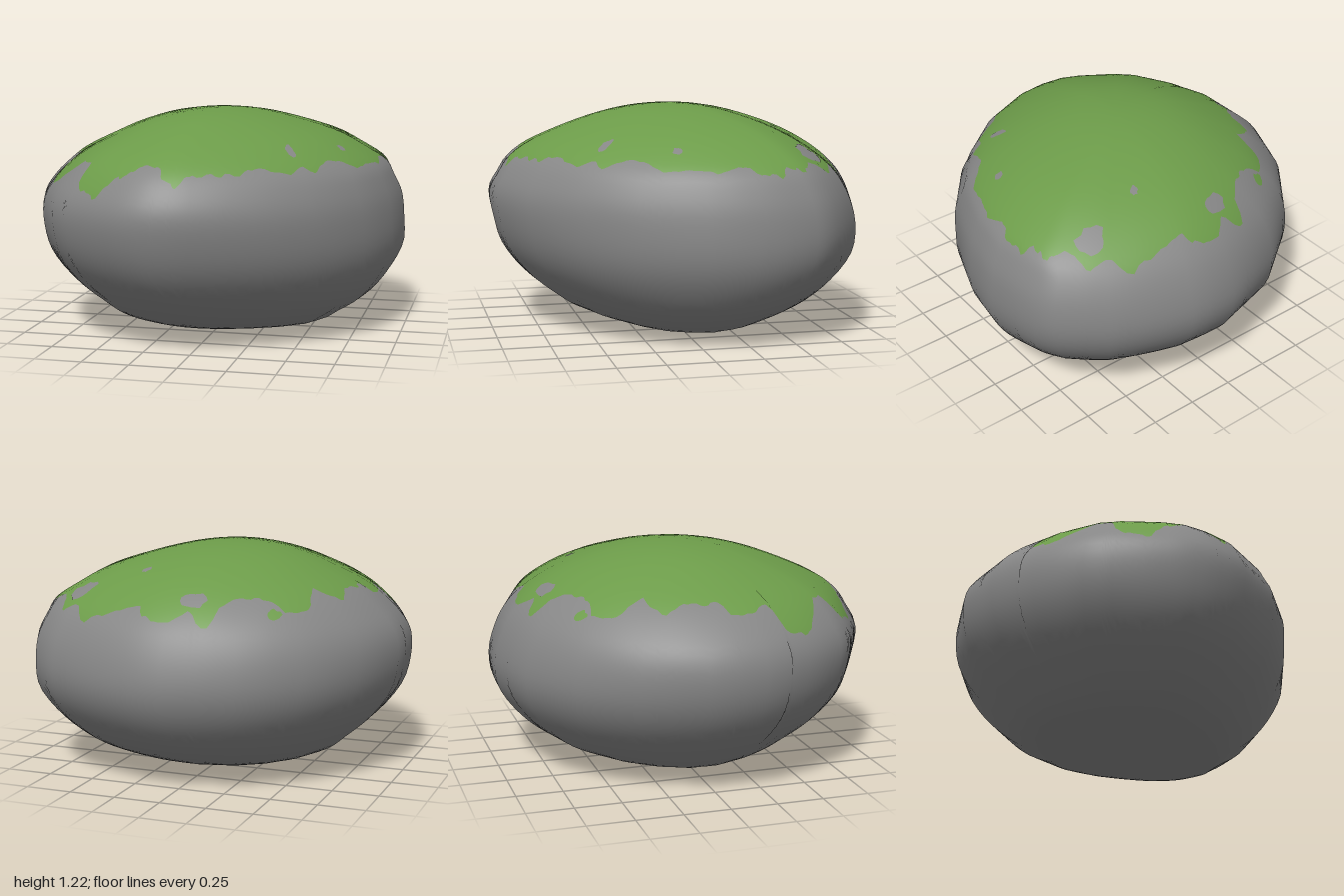
import * as THREE from 'three';

// Plan outline of the boulder, [x, z], starting at the back and turning through +x
const OUTLINE = [
  [0, -1], [0.26, -0.99], [0.67, -0.85], [0.87, -0.67], [0.93, -0.55], [0.98, -0.26],
  [0.94, 0.02], [0.83, 0.35], [0.62, 0.62], [0.35, 0.84], [0.05, 0.97], [-0.12, 0.99],
  [-0.27, 0.98], [-0.4, 0.93], [-0.64, 0.79], [-0.75, 0.69], [-0.89, 0.45], [-0.98, 0.19],
  [-0.98, -0.11], [-0.85, -0.43], [-0.64, -0.7], [-0.36, -0.9],
];
// Cross-sections from top to bottom: [y, reach to -x, +x, +z, -z]
const LEVELS = [
  [1.22, 0, 0, 0, 0], [1.2, 0.23, 0.21, 0.24, 0.22], [1.15, 0.42, 0.41, 0.44, 0.42],
  [1.08, 0.58, 0.62, 0.63, 0.6], [1.0, 0.74, 0.76, 0.8, 0.74], [0.92, 0.84, 0.88, 0.9, 0.84],
  [0.84, 0.92, 0.92, 0.95, 0.91], [0.74, 0.98, 0.965, 1, 0.96], [0.6, 0.985, 0.98, 0.98, 1],
  [0.45, 0.945, 0.98, 0.935, 0.985], [0.3, 0.835, 0.905, 0.82, 0.885],
  [0.18, 0.7, 0.805, 0.67, 0.75], [0.1, 0.6, 0.68, 0.54, 0.6],
  [0.04, 0.45, 0.56, 0.35, 0.42], [0.01, 0.22, 0.28, 0.15, 0.26], [0, 0, 0, 0, 0],
];
// Ragged border of the moss in plan, [x, z], in the same order as the outline
const MOSS_BORDER = [
  [0, -0.86], [0.13, -0.86], [0.18, -0.8], [0.33, -0.79], [0.5, -0.8], [0.54, -0.77],
  [0.57, -0.71], [0.68, -0.68], [0.7, -0.62], [0.74, -0.55], [0.82, -0.52], [0.82, -0.42],
  [0.87, -0.38], [0.87, -0.25], [0.84, -0.15], [0.85, -0.02], [0.8, 0.1], [0.78, 0.22],
  [0.7, 0.28], [0.63, 0.37], [0.6, 0.51], [0.52, 0.52], [0.48, 0.6], [0.42, 0.63],
  [0.33, 0.68], [0.27, 0.76], [0.15, 0.8], [0.05, 0.85], [0, 0.88], [-0.03, 0.91],
  [-0.09, 0.9], [-0.13, 0.84], [-0.2, 0.81], [-0.3, 0.84], [-0.42, 0.83], [-0.47, 0.86],
  [-0.54, 0.8], [-0.59, 0.73], [-0.55, 0.64], [-0.6, 0.58], [-0.7, 0.54], [-0.78, 0.5],
  [-0.84, 0.42], [-0.85, 0.34], [-0.75, 0.29], [-0.74, 0.26], [-0.8, 0.18], [-0.79, 0.05],
  [-0.73, 0.02], [-0.75, -0.08], [-0.7, -0.12], [-0.72, -0.25], [-0.68, -0.31],
  [-0.59, -0.33], [-0.6, -0.5], [-0.52, -0.59], [-0.42, -0.58], [-0.3, -0.65],
  [-0.22, -0.74], [-0.2, -0.84], [-0.13, -0.82], [-0.07, -0.8],
];

const N = OUTLINE.length;
const LAST = LEVELS.length - 1;
const SEGMENTS = N * 12;
const { lerp, clamp, smoothstep } = THREE.MathUtils;

// Beyond a pole the profile continues on the opposite side
function levelAt(i) {
  if (i >= 0 && i <= LAST) return LEVELS[i];
  const [y, ...reach] = LEVELS[i < 0 ? -i : 2 * LAST - i];
  return [y, ...reach.map((r) => -r)];
}

// Catmull-Rom through the levels
function profile(t) {
  const i = Math.floor(t), f = t - i;
  const [a, b, c, d] = [levelAt(i - 1), levelAt(i), levelAt(i + 1), levelAt(i + 2)];
  return b.map((p, k) => p + 0.5 * f * (c[k] - a[k]
    + f * (2 * a[k] - 5 * p + 4 * c[k] - d[k] + f * (3 * (p - c[k]) + d[k] - a[k]))));
}

// Surface point: u runs round the outline, s runs down the levels
function surface(u, s) {
  const i = Math.floor(u);
  const a = OUTLINE[((i % N) + N) % N], b = OUTLINE[(((i + 1) % N) + N) % N];
  const ox = lerp(a[0], b[0], u - i), oz = lerp(a[1], b[1], u - i);
  const [y, right, left, front, back] = profile(s);
  // Protruding corners soften towards the underside
  const corner = 1 - 0.5 * Math.max(0, Math.hypot(ox, oz) - 1) * smoothstep(s, 7, 12);
  return new THREE.Vector3(ox / 0.98 * (ox > 0 ? left : right) * corner, Math.max(y, 0),
    oz * (oz > 0 ? front : back) * corner);
}

// Normal taken over a wide span, so the facets shade smoothly
function surfaceNormal(u, s) {
  if (s <= 0 || s >= LAST) return new THREE.Vector3(0, s <= 0 ? 1 : -1, 0);
  const du = new THREE.Vector3();
  const c = clamp(s, 0.1, LAST - 0.1);
  for (const w of [0.6, 1.2, 1.8]) du.add(surface(u + w, c)).sub(surface(u - w, c));
  const span = Math.min(0.8, c, LAST - c);
  const ds = surface(u, c + span).sub(surface(u, c - span));
  return du.cross(ds).normalize();
}

// Grid of surface points; map(i, j) gives [u, s]
function surfaceGrid(cols, rows, map, lift = 0) {
  const position = [], normal = [], index = [];
  for (let j = 0; j <= rows; j++) {
    for (let i = 0; i <= cols; i++) {
      const [u, s] = map(i / cols, j / rows);
      const n = surfaceNormal(u, s);
      position.push(...surface(u, s).addScaledVector(n, lift).toArray());
      normal.push(...n.toArray());
      if (i < cols && j < rows) {
        const a = j * (cols + 1) + i, c = a + cols + 1;
        index.push(a, a + 1, c, a + 1, c + 1, c);
      }
    }
  }
  const geometry = new THREE.BufferGeometry();
  geometry.setAttribute('position', new THREE.Float32BufferAttribute(position, 3));
  geometry.setAttribute('normal', new THREE.Float32BufferAttribute(normal, 3));
  geometry.setIndex(index);
  return geometry;
}

function hash(k) {
  const v = Math.sin(k * 127.1 + 11.7) * 43758.5453;
  return v - Math.floor(v);
}

// Border as [angle, radius], sorted and closed
const turn = (x, z) => (Math.atan2(x, -z) + Math.PI * 2) % (Math.PI * 2);
const border = MOSS_BORDER.map(([x, z]) => [turn(x, z), Math.hypot(x, z)]).sort((a, b) => a[0] - b[0]);
border.push([border[0][0] + Math.PI * 2, border[0][1]]);

function borderRadius(x, z) {
  const angle = turn(x, z);
  const k = Math.max(1, border.findIndex((p) => p[0] >= angle));
  const [a, b] = [border[k - 1], border[k]];
  return lerp(a[1], b[1], clamp((angle - a[0]) / (b[0] - a[0] || 1), 0, 1));
}

// Level at which each column of the surface crosses the border
const mossEdge = Array.from({ length: SEGMENTS }, (_, i) => {
  const jitter = (hash(Math.floor(i / 2)) - 0.5) * 0.025;
  let low = 2, high = 6.5;
  for (let n = 0; n < 16; n++) {
    const mid = (low + high) / 2;
    const p = surface(i / SEGMENTS * N, mid);
    if (Math.hypot(p.x, p.z) < borderRadius(p.x, p.z) + jitter) low = mid;
    else high = mid;
  }
  return low;
});
const edgeAt = (t) => mossEdge[Math.round(t * SEGMENTS) % SEGMENTS];

// Small irregular blotch lying on the surface
function blotch(u, s, ru, rs) {
  return surfaceGrid(14, 4, (a, r) => {
    const angle = -a * Math.PI * 2;
    const k = r * (0.75 + 0.45 * hash(Math.round(a * 14) % 14 + u * 10));
    return [u + ru * k * Math.cos(angle), s + rs * k * Math.sin(angle)];
  }, 0.002);
}

export function createModel() {
  const group = new THREE.Group();
  group.name = 'mossyBoulder';
  const stone = new THREE.MeshStandardMaterial({ color: 0x868686 });
  stone.name = 'stone grey';
  const moss = new THREE.MeshStandardMaterial({ color: 0x6c9b49 });
  moss.name = 'moss green';

  const add = (name, geometry, material) => {
    const mesh = new THREE.Mesh(geometry, material);
    mesh.name = name;
    group.add(mesh);
  };

  // Moss cap and bare stone meet along the ragged border
  add('mossCap', surfaceGrid(SEGMENTS, 14, (a, r) => [a * N, r * edgeAt(a)]), moss);
  add('stoneBody', surfaceGrid(SEGMENTS, 30, (a, r) => [a * N, lerp(edgeAt(a), LAST, r)]), stone);

  // Bare spots in the moss
  [[2.4, 4.25, 0.34, 0.52], [21.75, 4.15, 0.25, 0.4], [7.95, 3.65, 0.11, 0.4],
    [6.4, 3.8, 0.1, 0.2], [1.5, 2.75, 0.08, 0.15]]
    .forEach((spot) => add('bareSpot', blotch(...spot), stone));

  // Stray tuft beyond the border
  add('mossTuft', blotch(20.3, 4.95, 0.13, 0.3), moss);

  return group;
}
